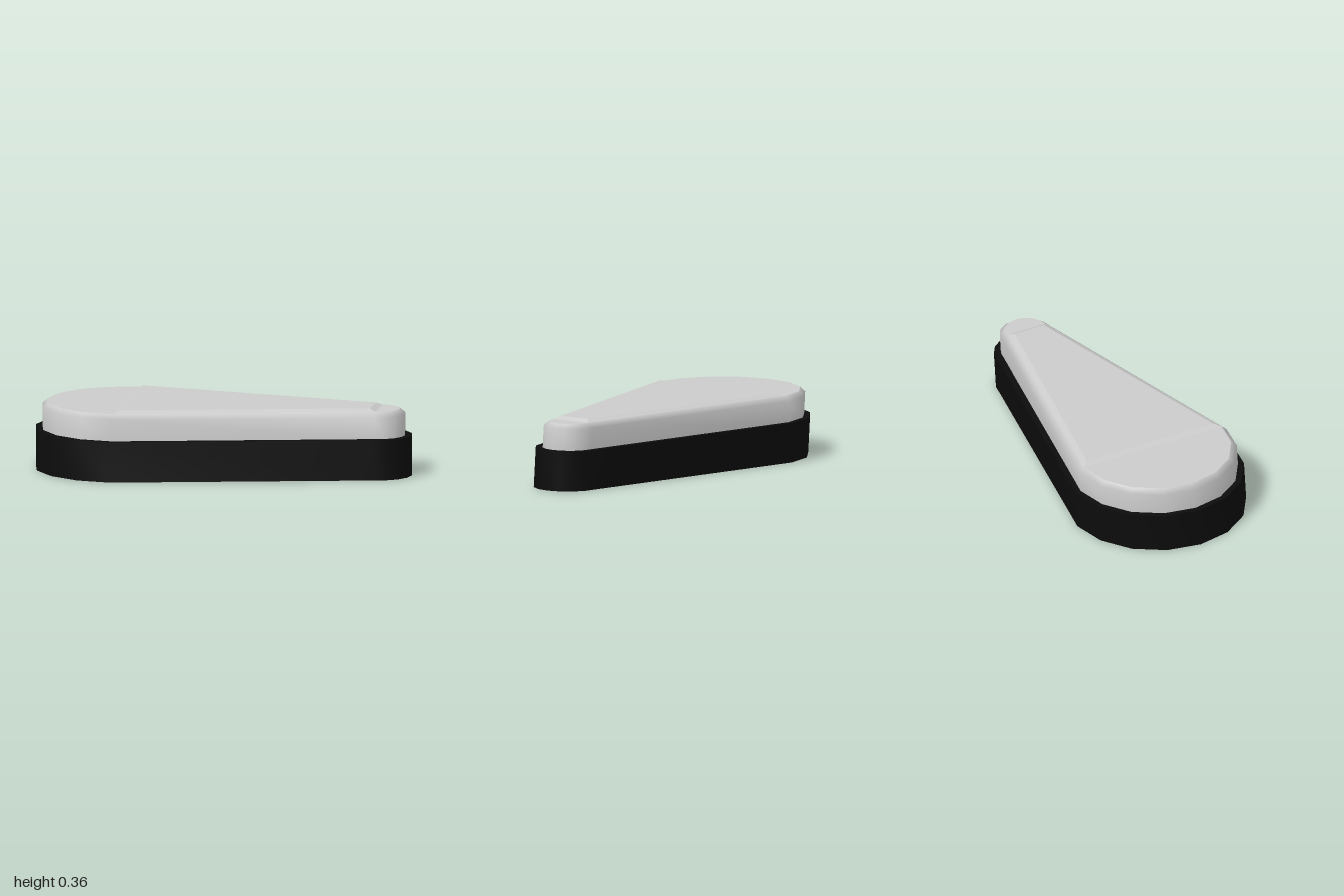
import * as THREE from 'three';
import { toCreasedNormals } from 'three/addons/utils/BufferGeometryUtils.js';

const BIG_X = -0.525, SMALL_X = 0.82;

// Points along a half circle around (cx, 0), in x and z
function arc(cx, r, start) {
  return Array.from({ length: 9 }, (_, i) => {
    const a = start + (i * Math.PI) / 8;
    return [cx + r * Math.cos(a), r * Math.sin(a)];
  });
}
const bigEnd = (r) => arc(BIG_X, r, Math.PI / 2);
const smallEnd = (r) => arc(SMALL_X, r, -Math.PI / 2);
const teardrop = (R, r) => [...bigEnd(R), ...smallEnd(r)];

// Joins rings of equal point count; a cap closes the last ring.
// The whole form leans back slightly as it rises.
function loft(rings, { walls = true, cap = false } = {}) {
  const pos = [], index = [], n = rings[0].points.length;
  for (const { y, points } of rings)
    for (const [x, z] of points) pos.push(x, y, z + 0.006 - 0.06 * y);
  if (walls)
    for (let k = 0; k < rings.length - 1; k++)
      for (let i = 0; i < n; i++) {
        const a = k * n + i, b = k * n + ((i + 1) % n), c = b + n, d = a + n;
        index.push(a, d, c, a, c, b);
      }
  if (cap) {
    const o = (rings.length - 1) * n;
    for (let i = 1; i < n - 1; i++) index.push(o, o + i + 1, o + i);
  }
  const g = new THREE.BufferGeometry();
  g.setAttribute('position', new THREE.Float32BufferAttribute(pos, 3));
  g.setIndex(index);
  g.computeVertexNormals();
  return g;
}

export function createModel() {
  const group = new THREE.Group();
  const grey = new THREE.MeshStandardMaterial({ color: 0xcccccc, side: THREE.DoubleSide });
  const black = new THREE.MeshStandardMaterial({ color: 0x0c0c0c, side: THREE.DoubleSide });
  const add = (name, geometry, material) => {
    const mesh = new THREE.Mesh(geometry, material);
    mesh.name = name;
    group.add(mesh);
  };

  // Black base band, hollow, with a narrow rim
  const outer = teardrop(0.475, 0.18), inner = teardrop(0.443, 0.145);
  const band = loft([
    { y: 0, points: outer },
    { y: 0.212, points: outer },
    { y: 0.212, points: inner },
    { y: 0, points: inner },
    { y: 0, points: outer },
  ]);
  add('baseBand', toCreasedNormals(band, 0.6), black);

  // Grey shell wall with a softened upper edge
  const R = 0.415, r = 0.113, lidY = 0.35;
  add('shellWall', loft([
    { y: 0.21, points: teardrop(0.443, 0.143) },
    { y: 0.325, points: teardrop(0.443, 0.143) },
    { y: lidY, points: teardrop(R, r) },
  ]), grey);

  // Flat rounded ends of the lid
  add('lidBigEnd', loft([{ y: lidY, points: bigEnd(R) }], { walls: false, cap: true }), grey);
  add('lidSmallEnd', loft([{ y: lidY, points: smallEnd(r) }], { walls: false, cap: true }), grey);

  // Slightly raised tapered panel between the ends
  const panel = (x0, h0, x1, h1) => [[x0, h0], [x0, -h0], [x1, -h1], [x1, h1]];
  add('lidPanel', toCreasedNormals(loft([
    { y: lidY, points: panel(BIG_X, R, SMALL_X, r) },
    { y: 0.364, points: panel(BIG_X + 0.03, R - 0.035, SMALL_X - 0.03, r - 0.025) },
  ], { cap: true }), 0.3), grey);

  return group;
}
